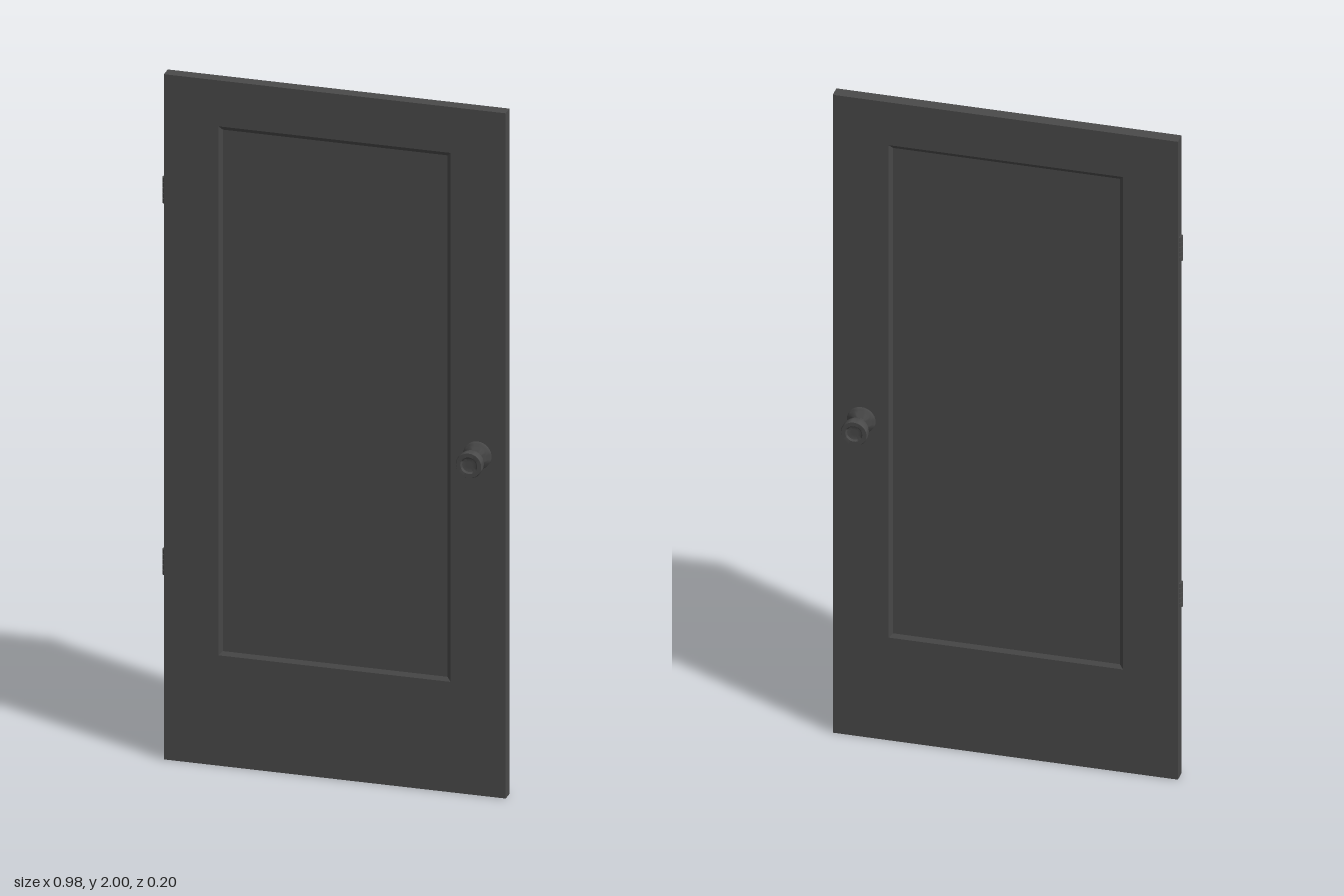
import * as THREE from 'three';
import { toCreasedNormals } from 'three/addons/utils/BufferGeometryUtils.js';

const LEFT = -0.48, RIGHT = 0.488, HEIGHT = 2;
const FRONT = 0.017, BACK = -0.019, RECESS = 0.007, BEVEL = 0.011;
const PANEL = { x0: -0.326, x1: 0.332, y0: 0.322, y1: 1.866 };

// Corners of the panel opening, counter-clockwise, shrunk by an inset
function corners(inset) {
  const { x0, x1, y0, y1 } = PANEL;
  return [
    [x0 + inset, y0 + inset], [x1 - inset, y0 + inset],
    [x1 - inset, y1 - inset], [x0 + inset, y1 - inset],
  ];
}

// Sloped moulding running from the door face down to the recessed panel
function mouldingGeometry(zOuter, zInner) {
  const outer = corners(0), inner = corners(BEVEL);
  const positions = [];
  for (let i = 0; i < 4; i++) {
    const j = (i + 1) % 4;
    const a = [...outer[i], zOuter], b = [...outer[j], zOuter];
    const c = [...inner[j], zInner], d = [...inner[i], zInner];
    const quad = zOuter > zInner ? [a, b, c, a, c, d] : [a, c, b, a, d, c];
    positions.push(...quad.flat());
  }
  const geometry = new THREE.BufferGeometry();
  geometry.setAttribute('position', new THREE.Float32BufferAttribute(positions, 3));
  geometry.computeVertexNormals();
  return geometry;
}

export function createModel() {
  const door = new THREE.Group();
  door.name = 'door';
  const charcoal = new THREE.MeshStandardMaterial({ color: 0x4a4a4a });
  charcoal.name = 'charcoal';

  const add = (name, geometry, parent = door) => {
    const mesh = new THREE.Mesh(geometry, charcoal);
    mesh.name = name;
    parent.add(mesh);
    return mesh;
  };

  // Slab frame with the panel opening cut through
  const outline = new THREE.Shape([
    new THREE.Vector2(LEFT, 0), new THREE.Vector2(RIGHT, 0),
    new THREE.Vector2(RIGHT, HEIGHT), new THREE.Vector2(LEFT, HEIGHT),
  ]);
  outline.holes.push(new THREE.Path(corners(0).reverse().map(([x, y]) => new THREE.Vector2(x, y))));
  const frame = new THREE.ExtrudeGeometry(outline, { depth: FRONT - BACK, bevelEnabled: false });
  add('frame', frame.translate(0, 0, BACK));

  // Recessed panel and its moulding on both faces
  const { x0, x1, y0, y1 } = PANEL;
  const panel = new THREE.BoxGeometry(x1 - x0, y1 - y0, FRONT - BACK - 2 * RECESS);
  add('panel', panel).position.set((x0 + x1) / 2, (y0 + y1) / 2, (FRONT + BACK) / 2);
  add('frontMoulding', mouldingGeometry(FRONT, FRONT - RECESS));
  add('backMoulding', mouldingGeometry(BACK, BACK + RECESS));

  // Turned knob: rose plate, neck, flared cup and dished end
  const profile = [
    [0.04, 0.012], [0.04, 0.02], [0.036, 0.024], [0.033, 0.025], [0.026, 0.031],
    [0.019, 0.035], [0.016, 0.037], [0.016, 0.046], [0.02, 0.049], [0.025, 0.053],
    [0.03, 0.06], [0.034, 0.068], [0.0365, 0.077], [0.0375, 0.087], [0.0375, 0.094],
    [0.0355, 0.098], [0.024, 0.098], [0.02, 0.093], [0.009, 0.09], [0, 0.0895],
  ].map(([r, h]) => new THREE.Vector2(r, h));
  for (const [name, side] of [['frontKnob', 1], ['backKnob', -1]]) {
    const knob = toCreasedNormals(new THREE.LatheGeometry(profile, 32), 0.6);
    knob.rotateX(side * Math.PI / 2);
    add(name, knob).position.set(0.408, 0.993, 0);
  }

  // Hinge barrels, each made of knuckles around a thinner pin
  for (const [name, y] of [['lowerHinge', 0.572], ['upperHinge', 1.657]]) {
    const hinge = new THREE.Group();
    hinge.name = name;
    hinge.position.set(-0.478, y, 0);
    door.add(hinge);
    add('pin', new THREE.CylinderGeometry(0.008, 0.008, 0.074, 16), hinge);
    for (let i = -2; i <= 2; i++) {
      add('knuckle', new THREE.CylinderGeometry(0.011, 0.011, 0.0135, 20), hinge).position.y = i * 0.0153;
    }
  }
  return door;
}
